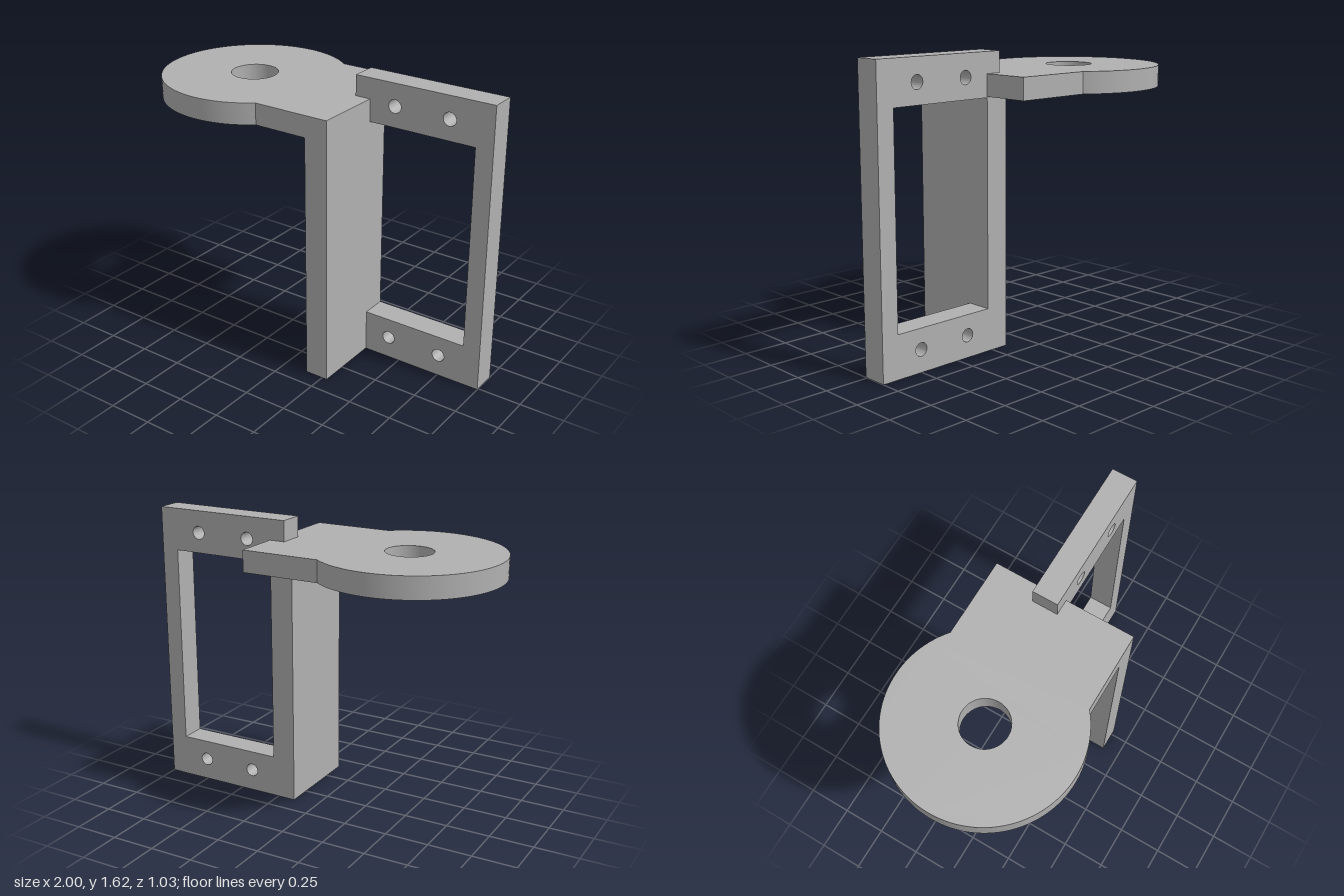
import * as THREE from 'three';
import { toCreasedNormals } from 'three/addons/utils/BufferGeometryUtils.js';

export function createModel() {
  const group = new THREE.Group();
  const grey = new THREE.MeshStandardMaterial({ color: 0xb0b0b0 });
  grey.name = 'plain grey';

  const add = (name, geometry) => {
    const mesh = new THREE.Mesh(geometry, grey);
    mesh.name = name;
    group.add(mesh);
    return mesh;
  };
  const drill = (shape, x, y, r) => {
    shape.holes.push(new THREE.Path().absarc(x, y, r, 0, Math.PI * 2, true));
  };
  const extrude = (shape, depth) => toCreasedNormals(
    new THREE.ExtrudeGeometry(shape, { depth, bevelEnabled: false, curveSegments: 40 }), 0.5);

  // Horizontal round plate with a square tab and a central bore
  const cx = -0.487, radius = 0.513, half = 0.4, wallX = 0.28;
  const a = Math.asin(half / radius);
  const plate = new THREE.Shape();
  plate.moveTo(wallX, -half);
  plate.lineTo(wallX, half);
  plate.absarc(cx, 0, radius, a, Math.PI * 2 - a, false);
  plate.closePath();
  drill(plate, cx, 0, 0.13);
  const plateMesh = add('roundPlate', extrude(plate, 0.12));
  plateMesh.rotation.x = -Math.PI / 2;
  plateMesh.position.y = 1.39;

  // Upright wall under the plate
  const zBack = -0.134, zFront = 0.01;
  const wall = add('uprightWall', new THREE.BoxGeometry(0.135, 1.39, half - zBack));
  wall.position.set(wallX - 0.0675, 0.695, (half + zBack) / 2);

  // Open mounting frame, closed on its inner side by the wall
  const frame = new THREE.Shape([
    [wallX, 0], [1, 0], [1, 1.625], [0.19, 1.625], [0.19, 1.51], [wallX, 1.51],
    [wallX, 1.385], [0.9, 1.385], [0.9, 0.24], [wallX, 0.24],
  ].map(([x, y]) => new THREE.Vector2(x, y)));
  for (const x of [0.43, 0.75]) {
    for (const y of [0.125, 1.5]) drill(frame, x, y, 0.037);
  }
  add('mountingFrame', extrude(frame, zFront - zBack)).position.z = zBack;

  return group;
}
